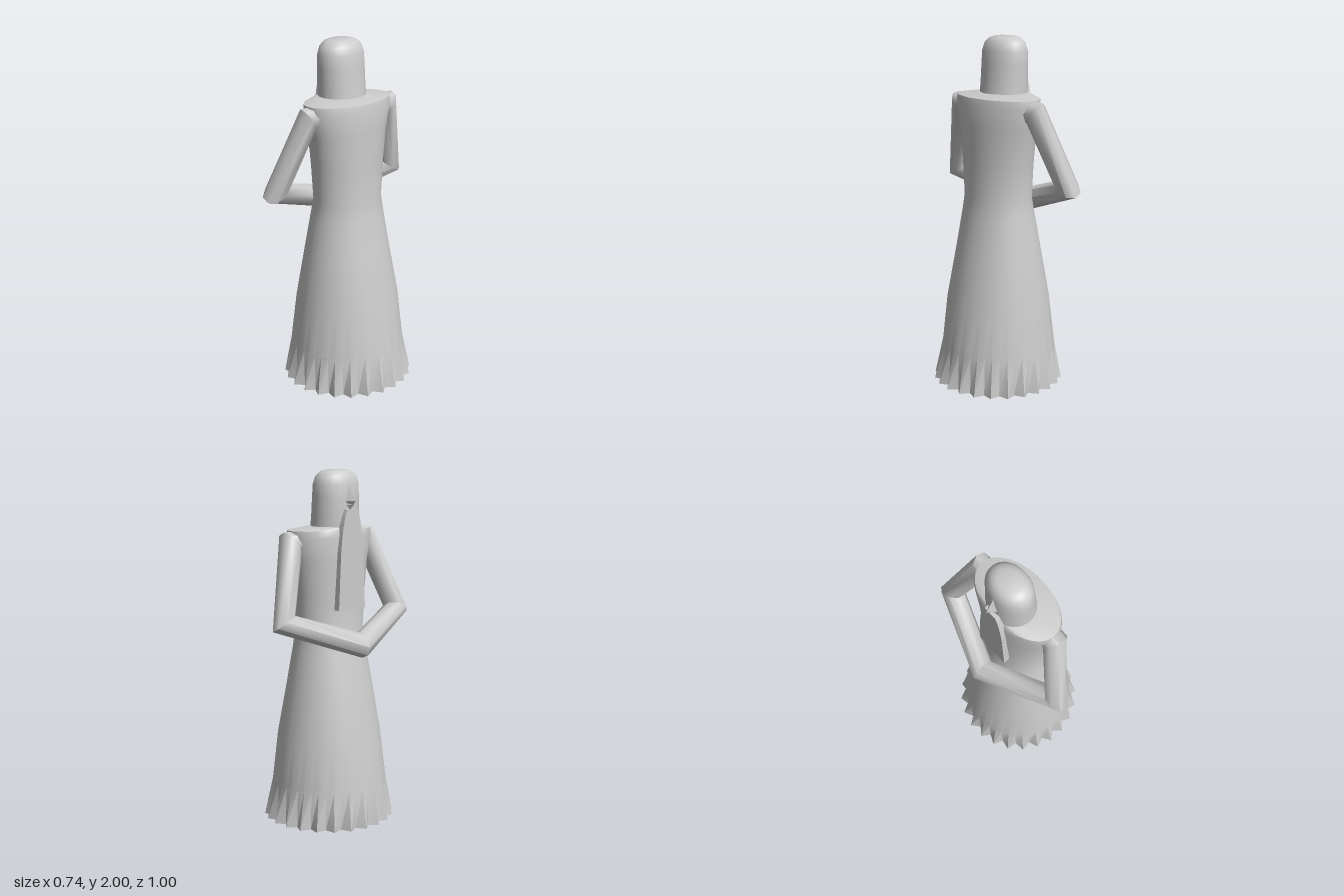
import * as THREE from 'three';
import { mergeVertices, toCreasedNormals } from 'three/addons/utils/BufferGeometryUtils.js';

const material = new THREE.MeshStandardMaterial({ color: 0xcccccc, side: THREE.DoubleSide });

// Skin a list of rings (equal-length arrays of Vector3), closing both ends.
function loft(rings, crease = 0.7) {
  const n = rings[0].length, pos = [], idx = [];
  rings.forEach(r => r.forEach(p => pos.push(p.x, p.y, p.z)));
  for (let i = 0; i < rings.length - 1; i++) {
    for (let j = 0; j < n; j++) {
      const a = i * n + j, b = i * n + (j + 1) % n;
      idx.push(a, a + n, b, b, a + n, b + n);
    }
  }
  [0, rings.length - 1].forEach(k => {
    const c = rings[k].reduce((s, p) => s.add(p), new THREE.Vector3()).divideScalar(n);
    const ci = pos.length / 3;
    pos.push(c.x, c.y, c.z);
    for (let j = 0; j < n; j++) {
      const a = k * n + j, b = k * n + (j + 1) % n;
      if (k === 0) idx.push(ci, a, b); else idx.push(ci, b, a);
    }
  });
  const g = new THREE.BufferGeometry();
  g.setAttribute('position', new THREE.Float32BufferAttribute(pos, 3));
  g.setIndex(idx);
  return toCreasedNormals(mergeVertices(g), crease);
}

// Horizontal oval; pleat pulls every second corner inwards.
function oval(y, cx, rx, rz, n, pleat = 0) {
  return Array.from({ length: n }, (_, j) => {
    const a = (j / n) * Math.PI * 2, k = j % 2 ? 1 : 1 - pleat;
    return new THREE.Vector3(cx + Math.cos(a) * rx * k, y, Math.sin(a) * rz * k);
  });
}

// Tube along a bent path with mitred rings at the bends.
function bentTube(points, radius, sides) {
  const dirs = points.slice(1).map((p, i) => p.clone().sub(points[i]).normalize());
  const rings = points.map((p, i) => {
    const d0 = dirs[Math.max(i - 1, 0)], d1 = dirs[Math.min(i, dirs.length - 1)];
    const t = d0.clone().add(d1).normalize();
    let m = d0.clone().sub(d1);
    if (m.length() < 1e-4) m = new THREE.Vector3(0, 1, 0).cross(t);
    m.normalize();
    const s = t.clone().cross(m).normalize();
    return { p, t, m, s, stretch: Math.min(1 / t.dot(d0), 1.22) };
  });
  // Each ring starts at the direction nearest to the previous ring's start.
  let up = new THREE.Vector3(-1, 0.2, 0);
  return loft(rings.map(({ p, t, m, s, stretch }) => {
    const u = up.clone().addScaledVector(t, -up.dot(t)).normalize();
    const v = t.clone().cross(u);
    up = u;
    return Array.from({ length: sides }, (_, j) => {
      const a = -(j + 0.5) / sides * Math.PI * 2;
      const o = u.clone().multiplyScalar(Math.cos(a)).addScaledVector(v, Math.sin(a));
      return p.clone().addScaledVector(m, o.dot(m) * radius * stretch).addScaledVector(s, o.dot(s) * radius);
    });
  }), 0.9);
}

export function createModel() {
  const model = new THREE.Group();
  const add = (name, geometry) => {
    const mesh = new THREE.Mesh(geometry, material);
    mesh.name = name;
    model.add(mesh);
    return mesh;
  };

  // Robe: pleated hem, flared skirt, straight torso and flat shoulders
  const robe = [
    // y, centre x, radius x, radius z, pleat
    [0, 0, 0.373, 0.378, 0.12],
    [0.22, -0.005, 0.328, 0.333, 0.01],
    [0.5, -0.003, 0.288, 0.305, 0],
    [0.8, -0.005, 0.23, 0.255, 0],
    [1.0, -0.004, 0.192, 0.222, 0],
    [1.1, -0.002, 0.175, 0.207, 0],
    [1.3, -0.002, 0.172, 0.225, 0],
    [1.5, -0.002, 0.172, 0.25, 0],
    [1.63, -0.002, 0.172, 0.285, 0],
    [1.67, -0.004, 0.165, 0.28, 0],
    [1.69, -0.045, 0.122, 0.15, 0],
  ];
  add('robe', loft(robe.map(([y, cx, rx, rz, pl]) => oval(y, cx, rx, rz, 48, pl))));

  // Hooded head with a flattened crown
  const head = [
    [1.66, -0.045, 0.128, 0.142],
    [1.75, -0.052, 0.123, 0.142],
    [1.85, -0.055, 0.116, 0.142],
    [1.92, -0.057, 0.11, 0.142],
    [1.965, -0.058, 0.098, 0.128],
    [1.99, -0.06, 0.078, 0.1],
    [2.0, -0.06, 0.055, 0.07],
  ];
  add('head', loft(head.map(([y, cx, rx, rz]) => oval(y, cx, rx, rz, 28)), 1));

  // Nose: a wedge with its tip low
  const noseSection = (y, tip, half) => [[tip, 0], [-0.13, -half], [-0.1, 0], [-0.13, half]]
    .map(([x, z]) => new THREE.Vector3(x, y, z)).reverse();
  add('nose', loft([
    noseSection(1.785, -0.178, 0.05), noseSection(1.81, -0.2, 0.055),
    noseSection(1.832, -0.216, 0.05), noseSection(1.93, -0.163, 0.025),
  ], 0.5));

  // Long flat beard hanging over the chest
  const outline = new THREE.Shape();
  outline.moveTo(-0.1, 1.23);
  outline.lineTo(0.1, 1.23);
  outline.lineTo(0.085, 1.55);
  outline.quadraticCurveTo(0.07, 1.72, 0.04, 1.785);
  outline.lineTo(-0.04, 1.785);
  outline.quadraticCurveTo(-0.07, 1.72, -0.085, 1.55);
  outline.closePath();
  const beard = new THREE.ExtrudeGeometry(outline, { depth: 0.07, bevelEnabled: false, curveSegments: 5 });
  beard.rotateY(-Math.PI / 2);
  beard.translate(-0.123, 0, 0);
  add('beard', beard);

  // Both sleeves, joined in front of the waist
  const half = [[0, 1.6, 0.18], [0, 1.6, 0.285], [-0.112, 1.185, 0.43]];
  const path = [...half, [-0.268, 1.035, 0], ...half.map(([x, y, z]) => [x, y, -z]).reverse()];
  add('sleeves', bentTube(path.map(p => new THREE.Vector3(...p)), 0.066, 8));

  return model;
}
